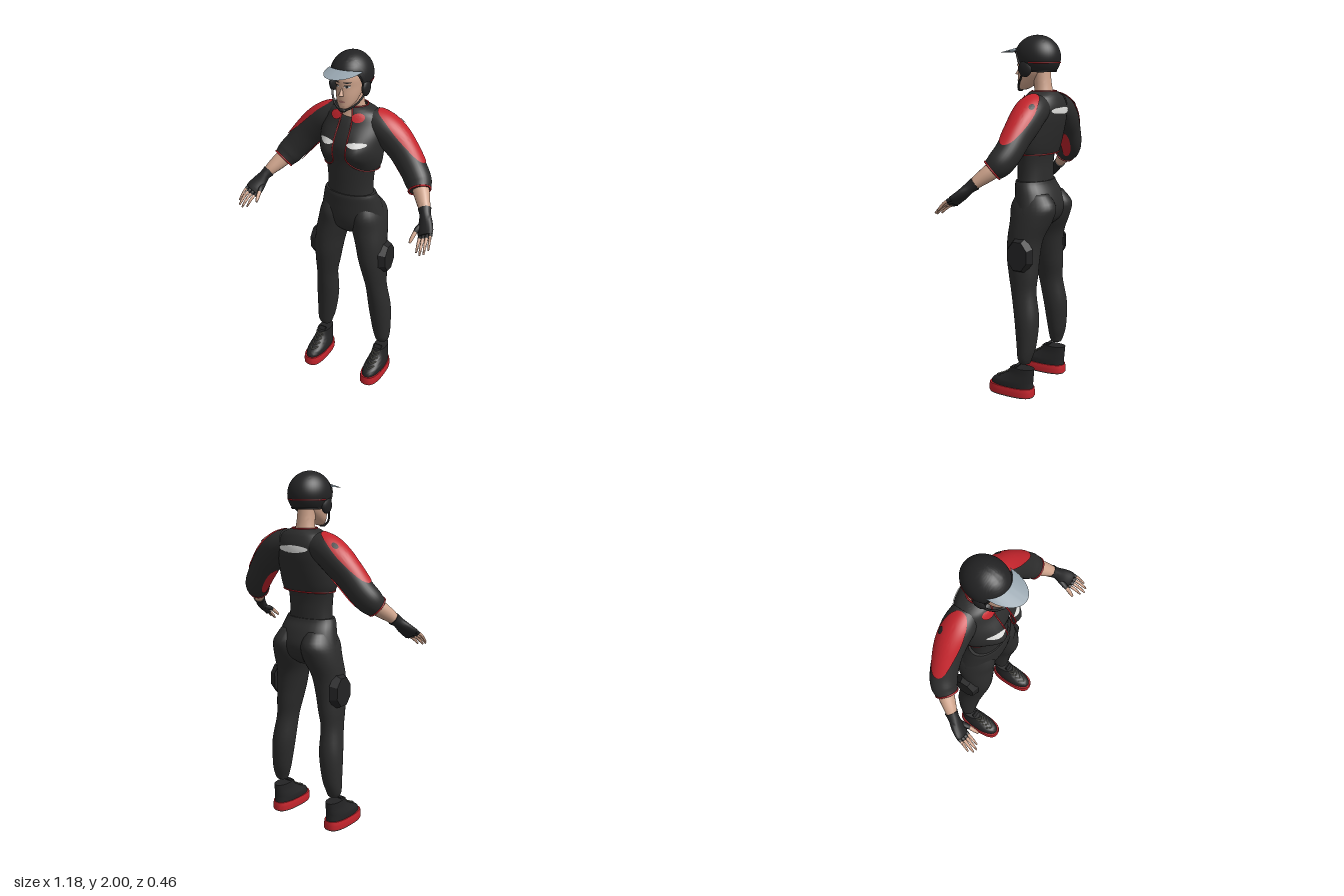
import * as THREE from 'three';
import { mergeVertices, toCreasedNormals } from 'three/addons/utils/BufferGeometryUtils.js';

const V = (x, y, z) => new THREE.Vector3(x, y, z);
const mat = (name, color) => new THREE.MeshStandardMaterial({ name, color, side: THREE.DoubleSide });
const TAU = Math.PI * 2;

// Surface from fn(s, t), with s along rows and t around
function grid(fn, ns, nt) {
  const pos = [], idx = [];
  for (let i = 0; i <= ns; i++) for (let j = 0; j <= nt; j++) pos.push(...fn(i / ns, j / nt, i).toArray());
  for (let i = 0; i < ns; i++) for (let j = 0; j < nt; j++) {
    const a = i * (nt + 1) + j, b = a + 1, c = a + nt + 1, d = c + 1;
    idx.push(a, b, d, a, d, c);
  }
  let g = new THREE.BufferGeometry();
  g.setAttribute('position', new THREE.Float32BufferAttribute(pos, 3));
  g.setIndex(idx);
  g = mergeVertices(g, 1e-5);
  const old = g.index.array, keep = [];
  for (let i = 0; i < old.length; i += 3) {
    const [a, b, c] = [old[i], old[i + 1], old[i + 2]];
    if (a !== b && b !== c && a !== c) keep.push(a, b, c);
  }
  g.setIndex(keep);
  return toCreasedNormals(g, 1.0);
}

// Smooth swept body through sections [x, y, z, radiusAcross, radiusFront]; flat keeps rings level
function body(secs, { flat = true, pow = 1, bump = null } = {}) {
  const n = secs.length - 1;
  const sec = u => {
    const t = THREE.MathUtils.clamp(u, 0, 1) * n, i = Math.min(Math.floor(t), n - 1), k = t - i;
    const [p, q, r, s] = [-1, 0, 1, 2].map(o => secs[Math.min(n, Math.max(0, i + o))]);
    return q.map((b, m) => b + 0.5 * k * (r[m] - p[m] + k * (2 * p[m] - 5 * b + 4 * r[m] - s[m]
      + k * (3 * (b - r[m]) + s[m] - p[m]))));
  };
  const sp = x => Math.sign(x) * Math.abs(x) ** pow;
  const f = (u, v) => {
    const [x, y, z, ra, rb] = sec(u);
    let T = V(0, 1, 0);
    if (!flat) T = V(...sec(u + 0.01)).sub(V(...sec(u - 0.01))).normalize();
    const B = V(0, 0, 1).addScaledVector(T, -T.z).normalize(), A = T.clone().cross(B);
    const p = V(x, y, z).addScaledVector(A, ra * sp(Math.sin(v * TAU))).addScaledVector(B, rb * sp(Math.cos(v * TAU)));
    if (bump) p.z += bump(p, v);
    return p;
  };
  f.center = u => V(...sec(u).slice(0, 3));
  // Point on the front or back of a level body, found from x and y
  f.at = (x, y, back) => {
    let lo = 0, hi = 1;
    for (let i = 0; i < 24; i++) { const m = (lo + hi) / 2; if (sec(m)[1] < y) lo = m; else hi = m; }
    const s = sec(lo), v = Math.asin(THREE.MathUtils.clamp((x - s[0]) / s[3], -1, 1)) / TAU;
    return f(lo, back ? 0.5 - v : v);
  };
  return f;
}
const loft = (f, ns = 24, nt = 28) => grid((s, t, i) =>
  i === 0 ? f.center(0) : i === ns + 2 ? f.center(1) : f((i - 1) / ns, t), ns + 2, nt);
// Oval badges laid on a body
const badge = (f, x, y, w, h, back = false, off = 0.005) => grid((r, a) => {
  const p = f.at(x + w * r * Math.cos(a * TAU), y + h * r * Math.sin(a * TAU), back);
  p.z += back ? -off : off;
  return p;
}, 5, 24);
const patch = (f, uc, vc, du, dv, off = 0.005) => grid((r, a) => {
  const u = uc + du * r * Math.cos(a * TAU), v = vc + dv * r * Math.sin(a * TAU), p = f(u, v);
  const n = f(u, v + 0.01).sub(f(u, v - 0.01)).cross(f(u + 0.01, v).sub(f(u - 0.01, v))).normalize();
  return p.addScaledVector(n, off);
}, 12, 32);
const tube = (pts, r, seg = 24, closed = false) =>
  new THREE.TubeGeometry(new THREE.CatmullRomCurve3(pts, closed), seg, r, 6, closed);
const range = (n, fn) => Array.from({ length: n }, (_, i) => fn(i));
const ball = (x, y, z, a, b, c) => new THREE.SphereGeometry(1, 16, 12).scale(a, b, c).translate(x, y, z);

function mirrored(geo) {
  const g = geo.clone().scale(-1, 1, 1);
  const ix = g.index ? Array.from(g.index.array) : range(g.attributes.position.count, i => i);
  for (let i = 0; i < ix.length; i += 3) [ix[i], ix[i + 1]] = [ix[i + 1], ix[i]];
  g.setIndex(ix);
  return g;
}

export function createModel() {
  const root = new THREE.Group();
  root.name = 'rider';
  const cloth = mat('black cloth', 0x2c2c2c), gear = mat('black gear', 0x232324), red = mat('red', 0xc4242c),
    skin = mat('skin', 0xcfa48c), white = mat('white badge', 0xdcdcda), visorGrey = mat('visor grey', 0x95a3ad),
    lace = mat('lace grey', 0x66655c), rubber = mat('sole grey', 0x4b4745), lip = mat('lips', 0xa8736a);
  const add = (name, geo, m) => {
    const o = new THREE.Mesh(geo, m);
    o.name = name;
    root.add(o);
  };
  const pair = (name, geo, m) => { add(name + 'Left', geo, m); add(name + 'Right', mirrored(geo), m); };

  // Trousers
  add('hips', loft(body([[0, 0.955, -0.08, 0.06, 0.06], [0, 0.99, -0.085, 0.15, 0.1], [0, 1.03, -0.09, 0.198, 0.118],
    [0, 1.08, -0.09, 0.191, 0.125], [0, 1.15, -0.077, 0.174, 0.114], [0, 1.195, -0.062, 0.16, 0.1],
    [0, 1.215, -0.06, 0.152, 0.094]])), cloth);
  pair('leg', loft(body([[0.197, 0.2, -0.1, 0.035, 0.03], [0.198, 0.23, -0.1, 0.047, 0.041], [0.19, 0.3, -0.105, 0.058, 0.055],
    [0.178, 0.45, -0.1, 0.067, 0.07], [0.166, 0.6, -0.075, 0.06, 0.073], [0.155, 0.7, -0.067, 0.07, 0.086],
    [0.143, 0.8, -0.06, 0.08, 0.096], [0.13, 0.9, -0.066, 0.09, 0.103], [0.107, 1.0, -0.09, 0.102, 0.122],
    [0.1, 1.08, -0.1, 0.09, 0.132], [0.09, 1.15, -0.09, 0.065, 0.09]]), 40), cloth);
  pair('thighPad', toCreasedNormals(new THREE.CylinderGeometry(0.8, 1, 0.045, 8).rotateY(Math.PI / 8).rotateZ(-Math.PI / 2)
    .scale(1, 0.107, 0.08).translate(0.224, 0.82, -0.075), 0.3), gear);

  // Shirt and open short jacket
  add('shirt', loft(body([[0, 1.17, -0.06, 0.14, 0.09], [0, 1.25, -0.06, 0.135, 0.088], [0, 1.32, -0.06, 0.139, 0.088],
    [0, 1.4, -0.065, 0.15, 0.095], [0, 1.5, -0.075, 0.155, 0.115], [0, 1.6, -0.1, 0.12, 0.1],
    [0, 1.645, -0.105, 0.08, 0.075]])), cloth);
  const bust = (p, v) => Math.cos(v * TAU) > 0 ? 0.042 * Math.cos(v * TAU)
    * Math.exp(-(((Math.abs(p.x) - 0.09) / 0.06) ** 2) - ((p.y - 1.475) / 0.065) ** 2) : 0;
  const jacket = body([[0, 1.365, -0.075, 0.163, 0.1], [0, 1.4, -0.073, 0.176, 0.113], [0, 1.45, -0.07, 0.184, 0.13],
    [0, 1.5, -0.074, 0.185, 0.138], [0, 1.56, -0.087, 0.182, 0.136], [0, 1.62, -0.106, 0.17, 0.117],
    [0, 1.667, -0.11, 0.145, 0.097], [0, 1.69, -0.11, 0.105, 0.08], [0, 1.702, -0.112, 0.07, 0.065]], { bump: bust });
  const gap = u => 0.034 + 0.095 * Math.max(0, 1 - u / 0.25) ** 2;
  add('jacket', grid((u, t) => jacket(u, gap(u) + (1 - 2 * gap(u)) * t), 36, 48), cloth);
  pair('frontTrim', tube(range(17, i => jacket(i / 16, gap(i / 16))), 0.004, 48), red);
  add('hemTrim', tube(range(25, i => jacket(0, 0.129 + 0.742 * i / 24)), 0.004, 60), red);
  add('collarTrim', tube(range(25, i => jacket(1, 0.04 + 0.92 * i / 24)), 0.004, 60), red);
  pair('chestBadge', badge(jacket, 0.09, 1.532, 0.05, 0.014), white);
  pair('collarTab', badge(jacket, 0.066, 1.658, 0.034, 0.022, false, 0.007), red);
  add('backBadge', badge(jacket, 0, 1.6, 0.1, 0.02, true), white);

  // Sleeves
  const sleeve = body([[0.1, 1.615, -0.12, 0.08, 0.08], [0.17, 1.59, -0.12, 0.085, 0.088], [0.235, 1.54, -0.118, 0.088, 0.084],
    [0.3, 1.475, -0.108, 0.082, 0.075], [0.365, 1.395, -0.09, 0.076, 0.072], [0.405, 1.345, -0.065, 0.073, 0.069],
    [0.427, 1.314, -0.035, 0.06, 0.058]], { flat: false });
  pair('sleeve', loft(sleeve, 36, 32), cloth);
  pair('shoulderPatch', patch(sleeve, 0.35, 0.75, 0.31, 0.15), red);
  pair('shoulderDot', patch(sleeve, 0.25, 0.66, 0.035, 0.025, 0.009), gear);
  pair('underarmPatch', patch(sleeve, 0.58, 0.27, 0.2, 0.06), red);
  pair('cuffTrim', tube(range(20, i => sleeve(1, i / 20)), 0.005, 40, true), red);

  // Forearms, gloves and fingers
  pair('forearm', loft(body([[0.4, 1.345, -0.07, 0.045, 0.045], [0.44, 1.305, -0.03, 0.045, 0.042],
    [0.475, 1.265, 0.015, 0.036, 0.034], [0.5, 1.235, 0.045, 0.026, 0.025]], { flat: false }), 12, 18), skin);
  pair('glove', loft(body([[0.488, 1.248, 0.03, 0.036, 0.034], [0.503, 1.227, 0.055, 0.031, 0.029],
    [0.52, 1.195, 0.085, 0.041, 0.025], [0.535, 1.165, 0.12, 0.047, 0.02], [0.541, 1.154, 0.134, 0.042, 0.016]],
  { flat: false }), 14, 18), gear);
  const finger = (a, b, r, cut) => {
    const at = k => a.clone().lerp(b, k).add(V(0, 0.012 * Math.sin(k * Math.PI), 0));
    const part = (k0, k1, r0, r1) => loft(body(range(4, i => {
      const k = k0 + (k1 - k0) * i / 3, e = i === 3 ? 0.7 : 1;
      return [...at(k).toArray(), (r0 + (r1 - r0) * i / 3) * e, (r0 + (r1 - r0) * i / 3) * e];
    }), { flat: false }), 6, 8);
    pair('fingerGlove', part(0, cut, r * 1.2, r * 1.2), gear);
    pair('finger', part(cut * 0.8, 1, r, r * 0.75), skin);
  };
  finger(V(0.568, 1.171, 0.125), V(0.588, 1.108, 0.198), 0.0085, 0.35);
  finger(V(0.55, 1.16, 0.125), V(0.573, 1.092, 0.222), 0.0095, 0.35);
  finger(V(0.531, 1.15, 0.125), V(0.552, 1.084, 0.227), 0.0095, 0.35);
  finger(V(0.512, 1.139, 0.125), V(0.528, 1.086, 0.213), 0.009, 0.35);
  finger(V(0.495, 1.18, 0.085), V(0.478, 1.118, 0.188), 0.012, 0.6);

  // Neck and face
  add('neck', loft(body([[0, 1.62, -0.105, 0.085, 0.075], [0, 1.69, -0.108, 0.058, 0.052], [0, 1.76, -0.1, 0.05, 0.048],
    [0, 1.85, -0.09, 0.052, 0.05]])), skin);
  const head = body([[0, 1.708, 0.015, 0.016, 0.018], [0, 1.718, 0.008, 0.03, 0.034], [0, 1.745, -0.012, 0.05, 0.056],
    [0, 1.785, -0.035, 0.064, 0.081], [0, 1.83, -0.05, 0.071, 0.094], [0, 1.88, -0.055, 0.074, 0.1],
    [0, 1.94, -0.06, 0.06, 0.08]]);
  add('head', loft(head), skin);
  const nose = new THREE.ConeGeometry(0.014, 0.05, 10).scale(1, 1, 1.1).rotateX(-0.25).translate(0, 1.813, 0.046);
  add('nose', nose, skin);
  add('lips', badge(head, 0, 1.757, 0.02, 0.007, false, 0.003), lip);
  pair('eye', badge(head, 0.029, 1.838, 0.014, 0.006, false, 0.003), white);
  pair('iris', badge(head, 0.029, 1.838, 0.006, 0.006, false, 0.005), gear);
  pair('lash', badge(head, 0.03, 1.845, 0.017, 0.003, false, 0.006), gear);
  pair('eyebrow', badge(head, 0.03, 1.861, 0.02, 0.004, false, 0.004), gear);

  // Open-face helmet
  const rim = t => 2.22 - 0.9 * THREE.MathUtils.smoothstep(Math.cos(t * TAU), 0.25, 0.75);
  const shell = (phi, t) => V(0.112 * Math.sin(phi) * Math.sin(t * TAU), 1.88 + 0.12 * Math.cos(phi),
    -0.07 + 0.13 * Math.sin(phi) * Math.cos(t * TAU));
  add('helmet', grid((s, t) => shell((1 - s) * rim(t), t), 24, 48), gear);
  add('helmetRim', tube(range(48, i => shell(rim(i / 48), i / 48)), 0.005, 96, true), gear);
  add('helmetTrim', tube(range(21, i => shell(1.8, 0.25 + 0.5 * i / 20)), 0.003, 48), red);
  pair('earGuard', ball(0.096, 1.822, -0.045, 0.018, 0.045, 0.04), gear);
  const strap = [V(0.098, 1.82, -0.04), V(0.088, 1.775, -0.015), V(0.05, 1.728, 0.022)];
  add('chinStrap', tube([...strap, V(0, 1.708, 0.04), ...strap.slice().reverse().map(p => V(-p.x, p.y, p.z))], 0.006, 48), gear);
  add('chinCup', ball(0, 1.708, 0.036, 0.024, 0.011, 0.013), gear);
  add('visor', grid((s, t) => {
    const a = (t - 0.5) * Math.PI, x = 0.097 * Math.sin(a), c = Math.cos(a);
    const inner = -0.07 + 0.128 * Math.sqrt(1 - (x / 0.114) ** 2), outer = 0.005 + 0.15 * c;
    return V(x, 1.93 - 0.024 * s * c - 0.014 * (1 - c), inner + (Math.max(outer, inner) - inner) * s);
  }, 8, 32), visorGrey);

  // Trainers
  const ring = (y, z, rx, rz) => [0.198, y, z, rx, rz];
  pair('soleBottom', loft(body([ring(0, -0.015, 0.059, 0.136), ring(0.007, -0.015, 0.061, 0.139)], { pow: 0.75 }), 2, 36), rubber);
  pair('sole', loft(body([ring(0.007, -0.015, 0.062, 0.14), ring(0.03, -0.015, 0.063, 0.14),
    ring(0.055, -0.015, 0.06, 0.137)], { pow: 0.75 }), 6, 36), red);
  const upper = body([ring(0.05, -0.017, 0.056, 0.133), ring(0.08, -0.023, 0.055, 0.125), ring(0.105, -0.05, 0.049, 0.1),
    ring(0.135, -0.075, 0.042, 0.078), ring(0.168, -0.088, 0.039, 0.068)], { pow: 0.9 });
  pair('shoeUpper', loft(upper, 16, 32), gear);
  pair('tongue', new THREE.BoxGeometry(0.045, 0.05, 0.014).rotateX(-0.6).translate(0.198, 0.163, -0.045), gear);
  for (let i = 0; i < 5; i++) {
    const y = 0.092 + i * 0.015;
    pair('lace', tube(range(5, k => upper.at(0.174 + k * 0.012, y + 0.004 * Math.abs(k - 2)).add(V(0, 0.003, 0.001))), 0.004, 10), lace);
  }
  return root;
}
